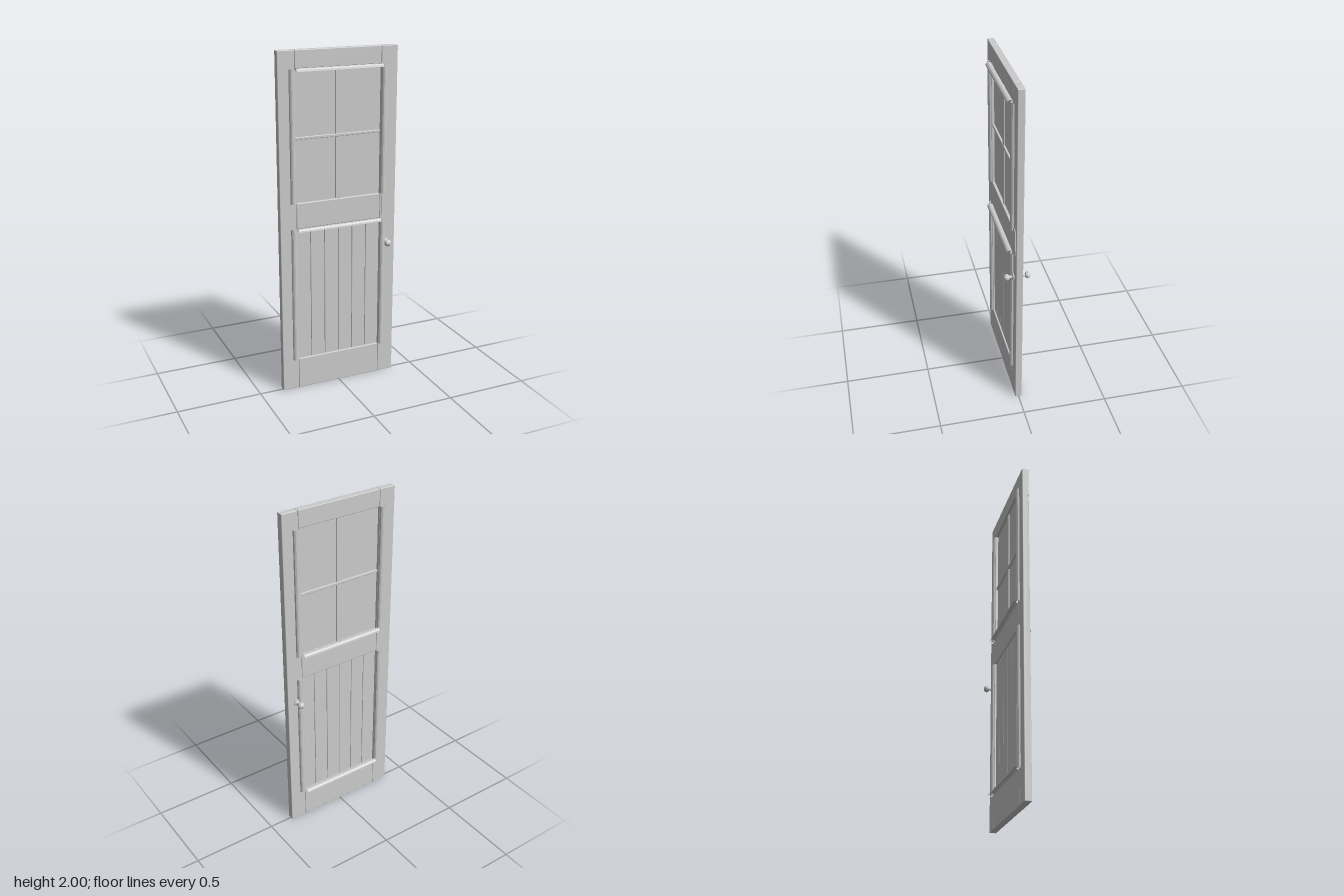
import * as THREE from 'three';
import { RoundedBoxGeometry } from 'three/addons/geometries/RoundedBoxGeometry.js';

const grey = new THREE.MeshStandardMaterial({ color: 0xcccccc });
const flat = new THREE.MeshStandardMaterial({ color: 0xcccccc, flatShading: true, side: THREE.DoubleSide });

export function createModel() {
  const door = new THREE.Group();
  door.name = 'panelledDoor';

  const add = (name, geometry, x, y, z, material = grey) => {
    const mesh = new THREE.Mesh(geometry, material);
    mesh.name = name;
    mesh.position.set(x, y, z);
    door.add(mesh);
    return mesh;
  };
  // Softened board given by its x and y limits
  const board = (name, x0, x1, y0, y1, depth, radius = 0.004) =>
    add(name, new RoundedBoxGeometry(x1 - x0, y1 - y0, depth, 2, radius), (x0 + x1) / 2, (y0 + y1) / 2, 0);

  // Frame: two stiles and three rails
  board('rightStile', -0.36, -0.261, 0, 2, 0.04);
  board('leftStile', 0.261, 0.36, 0, 2, 0.04);
  board('bottomRail', -0.26, 0.26, 0, 0.19, 0.04);
  board('lockRail', -0.26, 0.26, 1, 1.15, 0.04);
  board('topRail', -0.26, 0.26, 1.9, 2, 0.04);

  // Lower panel of six planks with narrow gaps
  const plankWidth = 0.524 / 6;
  for (let i = 0; i < 6; i++) {
    const x = -0.262 + i * plankWidth;
    board('plank', x + 0.001, x + plankWidth - 0.001, 0.18, 1.01, 0.02, 0.003);
  }

  // Upper pane with crossing glazing bars
  add('pane', new THREE.BoxGeometry(0.53, 0.77, 0.008), 0, 1.525, 0);
  board('verticalGlazingBar', -0.017, 0.017, 1.15, 1.9, 0.022, 0.003);
  board('horizontalGlazingBar', -0.26, 0.26, 1.51, 1.526, 0.03, 0.003);

  // Open half-round moulding: runs along y, bulges to +z
  const halfRound = (length) => new THREE.CylinderGeometry(0.0175, 0.0175, length, 6, 1, true, -Math.PI / 2, Math.PI);

  for (const [y0, y1] of [[0.19, 1], [1.15, 1.9]]) {
    // Upright mouldings on both faces of both stiles
    for (const side of [-1, 1]) {
      for (const face of [-1, 1]) {
        const strip = add('uprightMoulding', halfRound(y1 - y0), side * 0.2785, (y0 + y1) / 2, face * 0.02, flat);
        if (face < 0) strip.rotation.y = Math.PI;
      }
    }
    // Level mouldings: above each panel in front, below each panel behind
    for (const [y, z] of [[y1 - 0.014, 0.0345], [y0 - 0.004, -0.0365]]) {
      const geometry = halfRound(0.52).rotateZ(Math.PI / 2).rotateX(-Math.PI / 2);
      add('levelMoulding', geometry, 0, y, z, flat);
    }
  }

  // Thin lock plate on the front
  add('lockPlate', new THREE.BoxGeometry(0.073, 0.155, 0.004), 0.3065, 1.0975, 0.022);

  // Knob with round rose on each face: [radius, distance from the door's middle]
  const profile = [
    [0, 0.018], [0.023, 0.018], [0.023, 0.025], [0.012, 0.029], [0.008, 0.035], [0.009, 0.044],
    [0.016, 0.049], [0.021, 0.059], [0.018, 0.069], [0.011, 0.075], [0, 0.078],
  ].map(([r, d]) => new THREE.Vector2(r, d));
  for (const face of [-1, 1]) {
    const knob = add('knob', new THREE.LatheGeometry(profile, 12), 0.298, 0.85, 0, flat);
    knob.rotation.x = face * Math.PI / 2;
  }

  return door;
}
